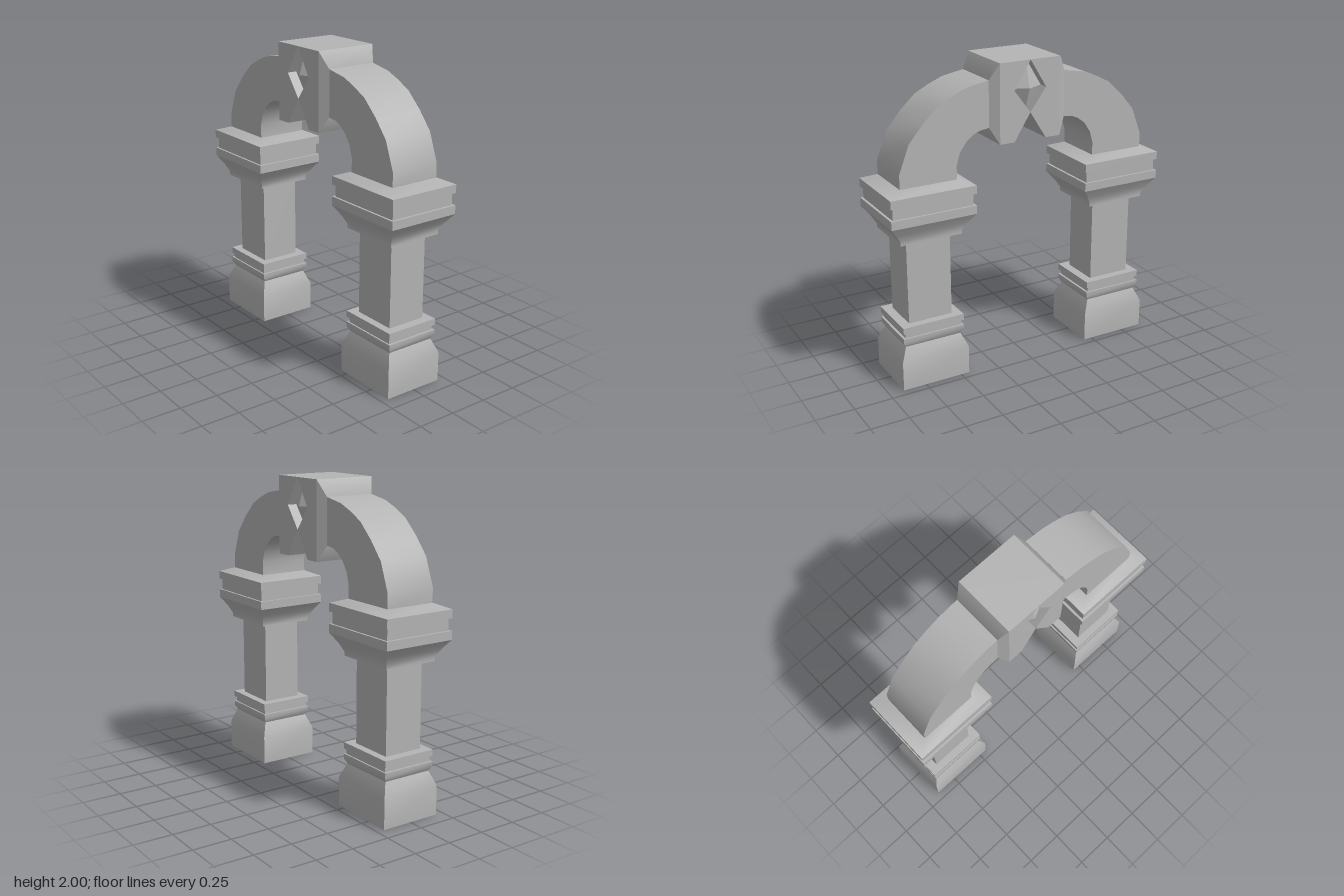
import * as THREE from 'three';
import { toCreasedNormals } from 'three/addons/utils/BufferGeometryUtils.js';

const stone = new THREE.MeshStandardMaterial({ color: 0xb4b4b4 });
stone.name = 'grey stone';

function part(name, geometry) {
  const mesh = new THREE.Mesh(toCreasedNormals(geometry, 0.55), stone);
  mesh.name = name;
  return mesh;
}

// Closed rectangular loft; each section is [height, half width x, half depth z]
function loft(sections) {
  const pos = [], index = [];
  sections.forEach(([y, hx, hz], k) => {
    pos.push(hx, y, hz, hx, y, -hz, -hx, y, -hz, -hx, y, hz);
    if (k === 0) return;
    for (let i = 0; i < 4; i++) {
      const a = 4 * (k - 1) + i, b = 4 * (k - 1) + (i + 1) % 4;
      index.push(a, b, b + 4, a, b + 4, a + 4);
    }
  });
  const t = pos.length / 3 - 4;
  index.push(0, 2, 1, 0, 3, 2, t, t + 1, t + 2, t, t + 2, t + 3);
  const g = new THREE.BufferGeometry();
  g.setAttribute('position', new THREE.Float32BufferAttribute(pos, 3));
  g.setIndex(index);
  return g;
}

// Extrudes a [z, y] outline across x, from x0 to x1
function slab(points, x0, x1) {
  const shape = new THREE.Shape(points.map(([z, y]) => new THREE.Vector2(z, y)));
  const g = new THREE.ExtrudeGeometry(shape, { depth: x1 - x0, bevelEnabled: false });
  return g.rotateY(-Math.PI / 2).translate(x1, 0, 0);
}

// One column with its half of the arch, on the +z side
function createHalf() {
  const half = new THREE.Group();
  const column = new THREE.Group();
  column.name = 'column';
  column.position.z = 0.673;
  column.add(
    part('columnBase', loft([
      [0, 0.2, 0.229], [0.19, 0.2, 0.229], [0.28, 0.164, 0.189], [0.31, 0.18, 0.207],
      [0.342, 0.18, 0.207], [0.342, 0.17, 0.192], [0.375, 0.17, 0.192],
      [0.375, 0.18, 0.207], [0.416, 0.18, 0.207]])),
    part('columnShaft', loft([[0.41, 0.13, 0.147], [0.97, 0.13, 0.147]])),
    part('columnCapital', loft([
      [0.965, 0.181, 0.204], [0.99, 0.181, 0.204], [1.04, 0.203, 0.234], [1.1, 0.24, 0.281],
      [1.155, 0.24, 0.281], [1.155, 0.226, 0.265], [1.23, 0.226, 0.265],
      [1.23, 0.24, 0.281], [1.283, 0.24, 0.281], [1.315, 0.166, 0.187]])));
  half.add(column);

  // Quarter arch: outer curve up, inner curve back down
  half.add(part('archLimb', slab([
    [0.861, 1.31], [0.861, 1.405], [0.794, 1.58], [0.7, 1.69], [0.598, 1.785],
    [0.5, 1.835], [0.407, 1.872], [0.265, 1.897],
    [0.265, 1.604], [0.325, 1.597], [0.37, 1.578], [0.42, 1.54],
    [0.465, 1.475], [0.487, 1.4], [0.487, 1.31]], -0.166, 0.166)));

  // Sloped collar between the limb and the keystone
  const collar = loft([[0.21, 0.205, 0.25], [0.265, 0.166, 0.146]]);
  half.add(part('keystoneCollar', collar.rotateX(Math.PI / 2).translate(0, 1.75, 0)));
  return half;
}

// Keystone side, facing +x: raised cheeks around a sunken faceted diamond
function createKeystoneSide() {
  const side = new THREE.Group();
  for (const s of [1, -1]) {
    const outline = [[0, 2], [0.11, 1.82], [0, 1.675], [0.11, 1.5], [0.21, 1.5], [0.21, 2]];
    side.add(part('keystoneCheek', slab(outline.map(([z, y]) => [s * z, y]), 0.14, 0.205)));
  }
  const rim = [[0, 2], [0.11, 1.82], [0, 1.675], [-0.11, 1.82]];
  const pos = [];
  rim.forEach(([z, y], i) => {
    const [z2, y2] = rim[(i + 1) % 4];
    pos.push(0.195, 1.82, 0, 0.141, y, z, 0.141, y2, z2);
  });
  const gem = new THREE.BufferGeometry();
  gem.setAttribute('position', new THREE.Float32BufferAttribute(pos, 3));
  const diamond = part('keystoneDiamond', gem);
  diamond.geometry.computeVertexNormals();
  side.add(diamond);
  return side;
}

export function createModel() {
  const model = new THREE.Group();
  model.name = 'archway';

  const front = createHalf();
  front.name = 'frontHalf';
  const back = createHalf();
  back.name = 'backHalf';
  back.rotation.y = Math.PI;

  const keystone = new THREE.Group();
  keystone.name = 'keystone';
  keystone.add(part('keystoneCore', slab([
    [-0.21, 2], [-0.21, 1.5], [-0.11, 1.5], [0, 1.675], [0.11, 1.5], [0.21, 1.5], [0.21, 2],
  ], -0.14, 0.14)));
  const left = createKeystoneSide();
  left.name = 'keystoneLeft';
  const right = createKeystoneSide();
  right.name = 'keystoneRight';
  right.rotation.y = Math.PI;
  keystone.add(left, right);

  model.add(front, back, keystone);
  return model;
}
